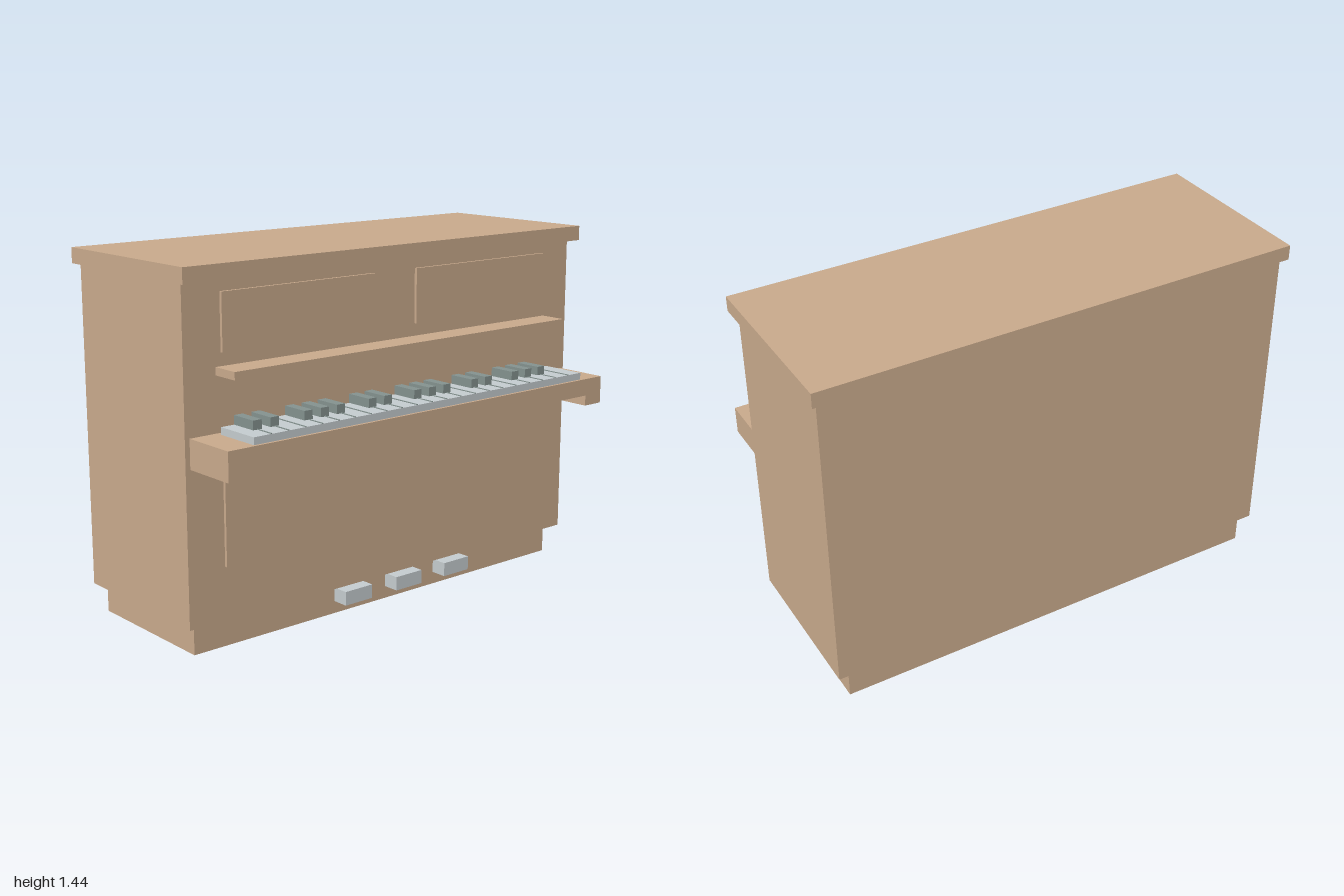
import * as THREE from 'three';

const material = (name, color) => {
  const m = new THREE.MeshStandardMaterial({ color });
  m.name = name;
  return m;
};

export function createModel() {
  const piano = new THREE.Group();
  piano.name = 'uprightPiano';
  const wood = material('wood', 0xc9aa8c);
  const ivory = material('paleGrey', 0xc5cccf);
  const dark = material('darkGrey', 0x84928f);

  // Box given by its limits on each axis
  const box = (name, mat, [x0, x1], [y0, y1], [z0, z1], parent = piano) => {
    const mesh = new THREE.Mesh(new THREE.BoxGeometry(x1 - x0, y1 - y0, z1 - z0), mat);
    mesh.position.set((x0 + x1) / 2, (y0 + y1) / 2, (z0 + z1) / 2);
    mesh.name = name;
    parent.add(mesh);
  };

  // Case
  box('base', wood, [-0.93, 0.93], [0, 0.12], [-0.413, 0.185]);
  box('body', wood, [-0.977, 0.977], [0.12, 1.38], [-0.434, 0.23]);
  box('lid', wood, [-1, 1], [1.38, 1.44], [-0.457, 0.276]);

  // Raised front panels and music shelf
  box('upperPanelRight', wood, [-0.817, -0.105], [1.12, 1.336], [0.23, 0.242]);
  box('upperPanelLeft', wood, [0.105, 0.817], [1.12, 1.336], [0.23, 0.242]);
  box('lowerPanel', wood, [-0.817, 0.817], [0.328, 0.692], [0.23, 0.242]);
  box('musicShelf', wood, [-0.84, 0.84], [1.04, 1.07], [0.23, 0.344]);

  // Key bed with a deeper block at each end
  const bed = new THREE.Shape([
    [-0.957, 0.717], [-0.864, 0.717], [-0.864, 0.76], [0.864, 0.76],
    [0.864, 0.717], [0.957, 0.717], [0.957, 0.83], [-0.957, 0.83],
  ].map(([x, y]) => new THREE.Vector2(x, y)));
  const keyBed = new THREE.Mesh(
    new THREE.ExtrudeGeometry(bed, { depth: 0.23, bevelEnabled: false }), wood);
  keyBed.position.z = 0.23;
  keyBed.name = 'keyBed';
  piano.add(keyBed);

  // Keyboard: white key slab, thin dividers and raised dark keys
  const keyboard = new THREE.Group();
  keyboard.name = 'keyboard';
  piano.add(keyboard);
  box('whiteKeys', ivory, [-0.84, 0.84], [0.83, 0.858], [0.255, 0.449], keyboard);
  const pitch = 1.68 / 22;
  for (let i = 1; i < 22; i++) {
    const x = -0.84 + i * pitch;
    box('keyDivider', dark, [x - 0.002, x + 0.002], [0.858, 0.861], [0.255, 0.449], keyboard);
    if (i % 7 !== 0 && i % 7 !== 3) {
      box('blackKey', dark, [x - 0.019, x + 0.019], [0.858, 0.893], [0.255, 0.368], keyboard);
    }
  }

  // Pedals
  for (const x of [-0.198, 0.067, 0.331]) {
    box('pedal', ivory, [x - 0.068, x + 0.068], [0.05, 0.106], [0.185, 0.254]);
  }
  return piano;
}
